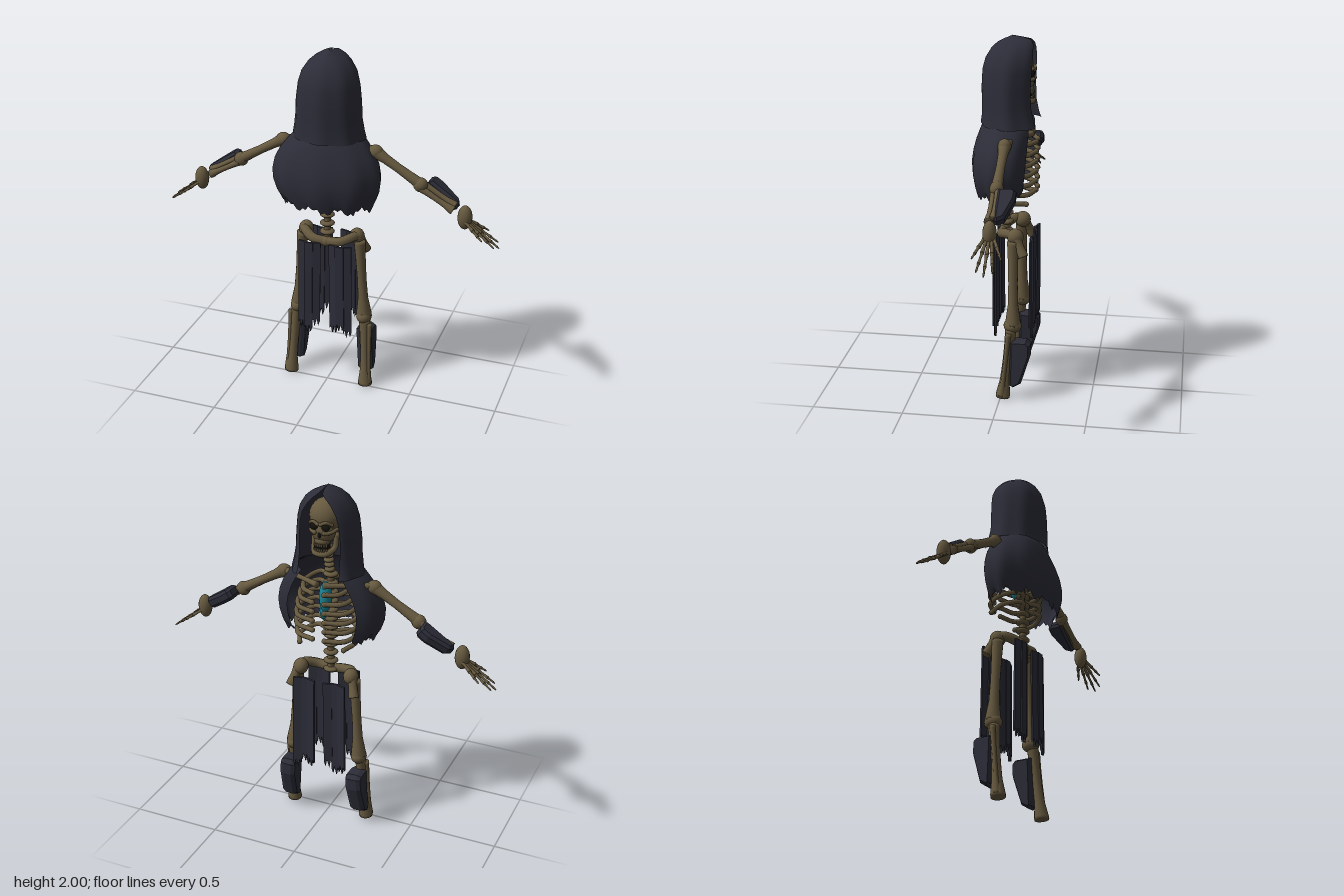
import * as THREE from 'three';

const mat = (name, color, side = THREE.FrontSide) => {
  const m = new THREE.MeshStandardMaterial({ color, side });
  m.name = name;
  return m;
};
const V = (x, y, z) => new THREE.Vector3(x, y, z);

export function createModel() {
  const bone = mat('aged bone', 0x66593f);
  const cloth = mat('dark cloth', 0x2c2d38, THREE.DoubleSide);
  const soul = mat('teal soul', 0x1b8496);
  const hollow = mat('hollow black', 0x14130f);
  const root = new THREE.Group();

  const add = (name, geo, material, parent = root) => {
    const m = new THREE.Mesh(geo, material);
    m.name = name;
    parent.add(m);
    return m;
  };
  const ball = (name, p, rx, ry = rx, rz = rx, material = bone, parent = root) => {
    const m = add(name, new THREE.SphereGeometry(1, 16, 12), material, parent);
    m.position.copy(p);
    m.scale.set(rx, ry, rz);
    return m;
  };
  // Long bone: slim shaft flaring to r0 and r1 at its ends
  const longBone = (name, a, b, r0, shaft, r1, parent = root) => {
    const len = a.distanceTo(b);
    const pts = [[0, 0], [r0, 0], [r0, 0.04], [shaft * 1.1, 0.22], [shaft, 0.5], [shaft * 1.1, 0.75], [r1, 0.96], [r1, 1], [0, 1]]
      .map(([r, t]) => new THREE.Vector2(r, t * len));
    const m = add(name, new THREE.LatheGeometry(pts, 12), bone, parent);
    m.position.copy(a);
    m.quaternion.setFromUnitVectors(V(0, 1, 0), b.clone().sub(a).normalize());
    return m;
  };
  const tube = (name, pts, r, parent = root) => {
    const g = add(name, new THREE.TubeGeometry(new THREE.CatmullRomCurve3(pts), 24, r, 8), bone, parent);
    for (const p of [pts[0], pts[pts.length - 1]]) ball(name + 'End', p, r * 1.1, r * 1.1, r * 1.1, bone, parent);
    return g;
  };

  // Draped shell open towards -z; rows are [y, halfWidth, zBack, zFront, halfAngle], bottom to top
  const drape = (name, rows, folds, depth, hem) => {
    const n = 64, pos = [], idx = [];
    rows.forEach(([y, w, zb, zf, A], i) => {
      for (let j = 0; j <= n; j++) {
        const a = (j / n * 2 - 1) * A;
        const k = 1 + depth * Math.cos(a * folds) * (1 - i / (rows.length - 1));
        pos.push(w * k * Math.sin(a), y + (i === 0 ? hem(j) : 0), (zb + zf) / 2 + (zb - zf) / 2 * k * Math.cos(a));
        if (i && j) {
          const q = i * (n + 1) + j, p = q - n - 1;
          idx.push(p - 1, p, q - 1, p, q, q - 1);
        }
      }
    });
    const g = new THREE.BufferGeometry();
    g.setAttribute('position', new THREE.Float32BufferAttribute(pos, 3));
    g.setIndex(idx);
    g.computeVertexNormals();
    return add(name, g, cloth);
  };
  drape('hood', [
    [1.53, 0.2, 0.135, -0.205, 2.5], [1.57, 0.192, 0.13, -0.19, 2.5], [1.64, 0.182, 0.13, -0.177, 2.47],
    [1.73, 0.178, 0.131, -0.177, 2.45], [1.82, 0.167, 0.126, -0.18, 2.45], [1.88, 0.15, 0.11, -0.18, 2.48],
    [1.93, 0.118, 0.08, -0.168, 2.58], [1.96, 0.085, 0.05, -0.155, 2.72], [1.98, 0.05, 0.015, -0.135, 2.9],
    [1.99, 0.022, -0.01, -0.09, 3.05], [2.0, 0.001, -0.03, -0.034, 3.14],
  ], 8, 0.025, () => 0);
  drape('cape', [
    [1.155, 0.252, 0.157, -0.14, 2.4], [1.2, 0.277, 0.172, -0.16, 2.4], [1.26, 0.298, 0.182, -0.17, 2.4],
    [1.32, 0.304, 0.184, -0.177, 2.4], [1.38, 0.293, 0.176, -0.177, 2.42], [1.44, 0.266, 0.16, -0.175, 2.44],
    [1.49, 0.229, 0.142, -0.172, 2.46], [1.52, 0.205, 0.13, -0.168, 2.48], [1.545, 0.18, 0.115, -0.16, 2.5],
  ], 9, 0.03, j => -0.014 * Math.sin(j * 0.78) + 0.012 * ((j * 7) % 5 > 2 ? 1 : -0.4));

  // Spine and neck
  for (let i = 0; i < 12; i++) {
    const y = 0.915 + i * 0.052;
    ball('vertebra', V(0, y, 0), 0.042, 0.017, 0.038);
  }
  longBone('spineCore', V(0, 0.9, 0), V(0, 1.52, 0), 0.02, 0.018, 0.02);
  for (let i = 0; i < 6; i++) ball('neckVertebra', V(0, 1.52 + i * 0.029, -0.015 - i * 0.006), 0.029, 0.014, 0.029);

  // Rib cage and the glow inside it
  [0.13, 0.152, 0.167, 0.175, 0.177, 0.172, 0.162].forEach((w, i) => {
    const y = 1.465 - i * 0.054, last = i > 5;
    for (const s of [-1, 1]) {
      const pts = [V(s * 0.02, y + 0.005, 0.01), V(s * w * 0.6, y + 0.005, 0.05), V(s * w, y - 0.015, -0.03), V(s * w * 0.8, y - 0.03, -0.125)];
      if (!last) pts.push(V(s * 0.035, y - 0.03, -0.165));
      tube('rib', pts, 0.0135);
    }
  });
  ball('soulCore', V(0, 1.38, -0.07), 0.035, 0.09, 0.035, soul);
  ball('soulWisp', V(0.015, 1.29, -0.06), 0.022, 0.05, 0.022, soul);

  // Skull
  const skull = new THREE.Group();
  skull.name = 'skull';
  skull.position.set(0, 1.8, -0.055);
  root.add(skull);
  ball('cranium', V(0, 0.04, 0), 0.09, 0.095, 0.09, bone, skull);
  ball('face', V(0, -0.03, -0.035), 0.066, 0.075, 0.06, bone, skull);
  ball('upperJaw', V(0, -0.08, -0.05), 0.045, 0.032, 0.042, bone, skull);
  tube('lowerJaw', [V(-0.062, -0.06, -0.01), V(-0.058, -0.125, -0.03), V(-0.03, -0.146, -0.08), V(0.03, -0.146, -0.08), V(0.058, -0.125, -0.03), V(0.062, -0.06, -0.01)], 0.016, skull);
  add('mouthGap', new THREE.BoxGeometry(0.07, 0.025, 0.05), hollow, skull).position.set(0, -0.113, -0.055);
  for (let i = 0; i < 7; i++) {
    const x = (i - 3) * 0.0115;
    for (const y of [-0.1, -0.126]) ball('tooth', V(x, y, -0.09 + x * x * 12), 0.0055, 0.011, 0.006, bone, skull);
  }
  ball('nose', V(0, -0.04, -0.092), 0.01, 0.017, 0.006, hollow, skull);
  for (const s of [-1, 1]) {
    ball('eyeSocket', V(s * 0.033, 0.004, -0.085), 0.023, 0.021, 0.012, hollow, skull);
    tube('brow', [V(s * 0.06, 0.016, -0.068), V(s * 0.034, 0.031, -0.09), V(s * 0.008, 0.02, -0.096)], 0.009, skull);
    tube('cheekbone', [V(s * 0.07, -0.02, -0.025), V(s * 0.055, -0.026, -0.072), V(s * 0.026, -0.028, -0.092)], 0.01, skull);
  }

  // Bevelled armour plate: length 1 along y, bulging to -z, heavier at the top
  const guard = (name, top, bottom, width, depth, parent) => {
    const len = top.distanceTo(bottom);
    const shape = new THREE.Shape([[0.1, 0.5], [-0.75, 0.5], [-0.95, 0.42], [-0.95, 0.18], [-0.5, -0.4], [-0.1, -0.5], [0.1, -0.46]]
      .map(([z, y]) => new THREE.Vector2(z * depth, y * len)));
    const g = new THREE.ExtrudeGeometry(shape, { depth: width * 0.5, bevelEnabled: true, bevelThickness: width * 0.25, bevelSize: 0.012, bevelOffset: -0.012, bevelSegments: 1 });
    g.translate(0, 0, -width * 0.25).rotateY(-Math.PI / 2);
    const m = add(name, g, cloth, parent);
    m.position.copy(top).add(bottom).multiplyScalar(0.5);
    m.rotation.z = Math.atan2(bottom.x - top.x, top.y - bottom.y);
  };

  for (const s of [-1, 1]) {
    const P = (x, y, z) => V(s * x, y, z);
    // Arm
    const arm = new THREE.Group();
    arm.name = s > 0 ? 'leftArm' : 'rightArm';
    root.add(arm);
    longBone('collarbone', P(0.015, 1.475, -0.14), P(0.25, 1.475, -0.035), 0.018, 0.013, 0.02, arm);
    ball('shoulder', P(0.262, 1.468, -0.028), 0.042, 0.038, 0.036, bone, arm);
    longBone('upperArm', P(0.262, 1.468, -0.028), P(0.515, 1.318, -0.026), 0.034, 0.024, 0.03, arm);
    ball('elbow', P(0.515, 1.315, -0.026), 0.04, 0.04, 0.036, bone, arm);
    longBone('forearmBone', P(0.52, 1.325, -0.038), P(0.705, 1.215, -0.04), 0.019, 0.015, 0.024, arm);
    longBone('forearmBone', P(0.52, 1.3, -0.014), P(0.7, 1.2, -0.014), 0.02, 0.015, 0.024, arm);
    guard('forearmGuard', P(0.545, 1.315, -0.05), P(0.715, 1.2, -0.05), 0.065, 0.088, arm);
    ball('wrist', P(0.762, 1.162, -0.03), 0.04, 0.068, 0.036, bone, arm);
    // Fingers, each with three tapering joints
    [[0.88, 1.07, -0.105], [0.94, 1.025, -0.072], [0.955, 1.01, -0.03], [0.935, 1.025, 0.01], [0.875, 1.07, 0.042]].forEach(([x, y, z], i) => {
      const a = P(0.77, 1.145, -0.03 + (i - 2) * 0.011), b = P(x, y, z);
      [0, 0.45, 0.75, 1].forEach((t, k, ts) => {
        if (!k) return;
        const r = 0.0125 - k * 0.002;
        longBone('finger', a.clone().lerp(b, ts[k - 1]), a.clone().lerp(b, t), r + 0.002, r * 0.75, k === 3 ? 0.003 : r, arm);
      });
    });

    // Pelvis half and leg
    const leg = new THREE.Group();
    leg.name = s > 0 ? 'leftLeg' : 'rightLeg';
    root.add(leg);
    tube('pelvis', [P(0, 0.912, 0.015), P(0.08, 0.922, 0.015), P(0.14, 0.94, -0.03), P(0.16, 0.935, -0.07)], 0.027, leg);
    ball('hip', P(0.15, 0.93, -0.07), 0.042, 0.045, 0.045, bone, leg);
    longBone('hipSpur', P(0.16, 0.93, -0.075), P(0.19, 0.83, -0.12), 0.03, 0.024, 0.028, leg);
    longBone('thigh', P(0.168, 0.91, -0.06), P(0.2, 0.43, -0.065), 0.032, 0.026, 0.043, leg);
    ball('knee', P(0.2, 0.43, -0.063), 0.044, 0.042, 0.05, bone, leg);
    longBone('shin', P(0.207, 0.41, -0.055), P(0.228, 0.008, -0.012), 0.032, 0.025, 0.04, leg);
    longBone('outerShin', P(0.238, 0.395, -0.045), P(0.248, 0.02, -0.008), 0.016, 0.012, 0.02, leg);
    guard('shinGuard', P(0.2, 0.35, -0.06), P(0.215, 0.07, -0.06), 0.09, 0.11, leg);

    // Tattered hanging cloth before and behind the leg, in slightly turned panels
    for (const z of [0.048, -0.155]) {
      for (let k = 0; k < 3; k++) {
        const h = 0.5 + 0.02 * ((k * 2 + (s > 0 ? 1 : 0)) % 3);
        const shape = new THREE.Shape([[-0.024, 0], [0.024, 0], [0.024, -h], [0.015, -h - 0.03], [0.007, -h + 0.015], [-0.006, -h - 0.035], [-0.014, -h + 0.01], [-0.024, -h - 0.01]]
          .map(p => new THREE.Vector2(...p)));
        const g = new THREE.ExtrudeGeometry(shape, { depth: 0.012, bevelEnabled: false });
        const m = add('hangingCloth', g.translate(0, 0, -0.006), cloth);
        m.position.set(s * (0.048 + k * 0.041), 0.908, z + (k === 1 ? 0.008 : -0.003));
        m.rotation.set(0, s * (k - 1) * 0.25, s * 0.012);
      }
    }
  }
  return root;
}
